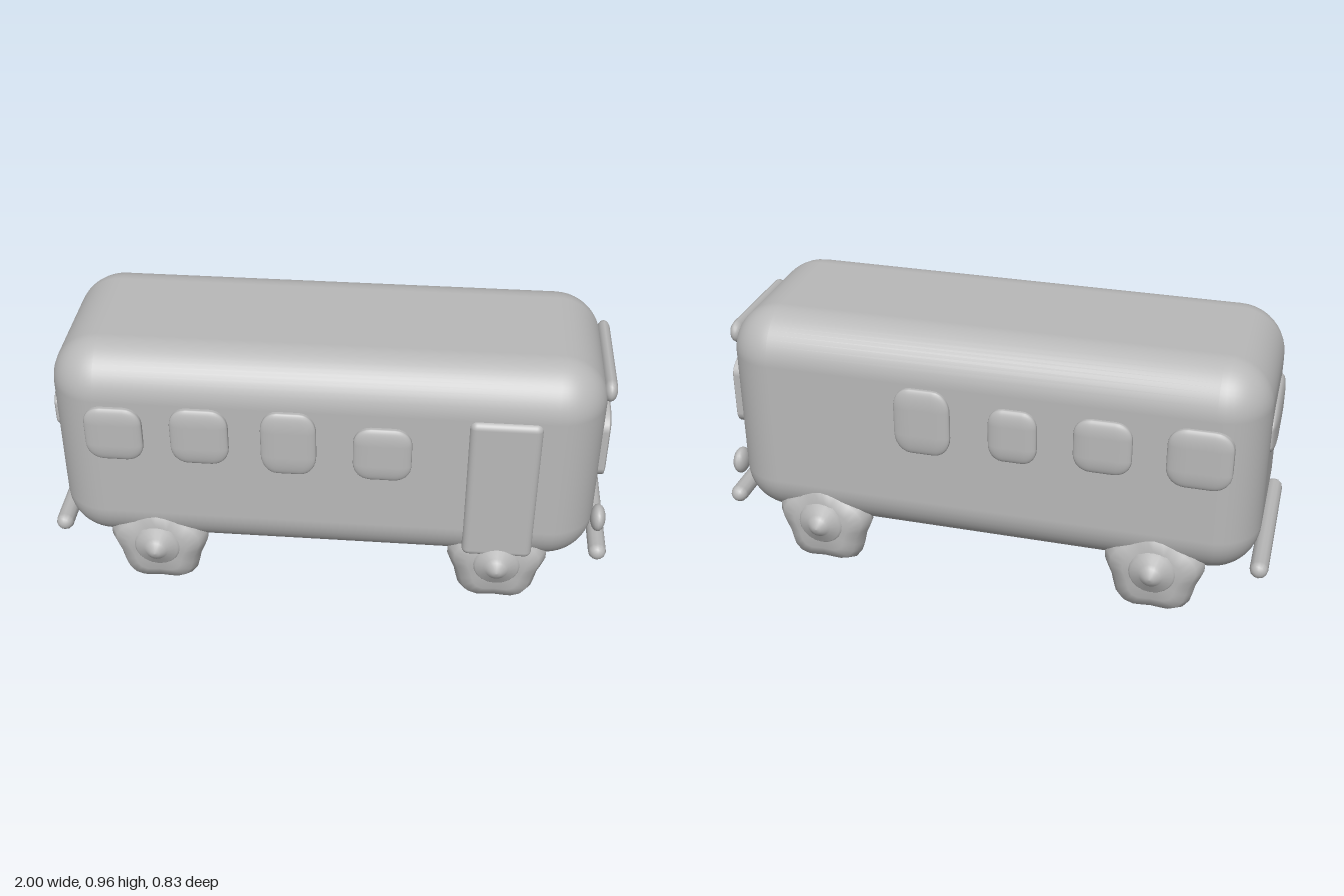
import * as THREE from 'three';
import { mergeVertices } from 'three/addons/utils/BufferGeometryUtils.js';
import { RoundedBoxGeometry } from 'three/addons/geometries/RoundedBoxGeometry.js';

const grey = new THREE.MeshStandardMaterial({ color: 0xb8b8b8 });
grey.name = 'grey';

export function createModel() {
  const bus = new THREE.Group();
  bus.name = 'bus';

  const add = (name, geometry, x, y, z, parent = bus) => {
    const mesh = new THREE.Mesh(geometry, grey);
    mesh.name = name;
    mesh.position.set(x, y, z);
    parent.add(mesh);
    return mesh;
  };

  // Soft cushion: a unit rounded cube stretched to size
  const pillow = (w, h, d, r = 0.3) => new RoundedBoxGeometry(1, 1, 1, 4, r).scale(w, h, d);

  // Round bar lying along z
  const bar = (r, length, flatten = 1) =>
    new THREE.CapsuleGeometry(r, length - 2 * r, 6, 12).rotateX(Math.PI / 2).scale(flatten, 1, 1);

  // Body shell
  add('body', new RoundedBoxGeometry(1.9, 0.805, 0.715, 6, 0.17), -0.007, 0.557, 0);

  // Side windows: x, y, width, height
  const frontWindows = [
    [-0.725, 0.67, 0.2, 0.21], [-0.43, 0.675, 0.2, 0.22],
    [-0.125, 0.665, 0.19, 0.25], [0.195, 0.64, 0.2, 0.21],
  ];
  const backWindows = [
    [-0.745, 0.65, 0.22, 0.22], [-0.42, 0.65, 0.2, 0.2],
    [-0.11, 0.645, 0.17, 0.2], [0.21, 0.655, 0.2, 0.25],
  ];
  for (const [x, y, w, h] of frontWindows) add('frontSideWindow', pillow(w, h, 0.06), x, y, 0.354);
  for (const [x, y, w, h] of backWindows) add('backSideWindow', pillow(w, h, 0.06), x, y, -0.352);

  // Passenger door
  add('door', new RoundedBoxGeometry(0.245, 0.57, 0.07, 4, 0.025), 0.605, 0.505, 0.34);

  // Windscreen, rear window and sign above the windscreen
  add('windscreen', pillow(0.06, 0.275, 0.465, 0.22), 0.942, 0.597, -0.01);
  add('rearWindow', pillow(0.06, 0.16, 0.4), -0.946, 0.65, 0.03);
  add('roofSign', bar(0.041, 0.455, 0.6), 0.95, 0.83, 0);

  // Headlights
  for (const side of [-1, 1]) {
    const lamp = new THREE.SphereGeometry(0.049, 16, 12).scale(0.55, 1, 1);
    add('headlight', lamp, 0.958, 0.327, side * 0.25);
  }

  // Bumpers
  for (const end of [-1, 1]) add('bumper', bar(0.032, 0.615), end * 0.968, 0.195, 0);

  // Wheels: softly five-cornered tyres with pointed hubs
  const lathe = (profile, segments) =>
    new THREE.LatheGeometry(profile.map(([r, z]) => new THREE.Vector2(r, z)), segments).rotateX(Math.PI / 2);

  const tyreShape = () => {
    let g = lathe([[0, 0.228], [0.09, 0.23], [0.14, 0.25], [0.168, 0.285], [0.17, 0.31],
      [0.145, 0.35], [0.1, 0.368], [0, 0.37]], 30);
    const p = g.attributes.position;
    for (let i = 0; i < p.count; i++) {
      const angle = Math.atan2(p.getY(i), p.getX(i));
      const k = 1 + 0.08 * Math.cos(5 * (angle - Math.PI / 2));
      p.setXY(i, p.getX(i) * k, p.getY(i) * k);
    }
    g.deleteAttribute('uv');
    g.deleteAttribute('normal');
    g = mergeVertices(g);
    g.computeVertexNormals();
    return g;
  };
  const tyre = tyreShape();
  const hub = lathe([[0, 0.34], [0.088, 0.345], [0.09, 0.36], [0.075, 0.376], [0.045, 0.385],
    [0.036, 0.398], [0.015, 0.412], [0, 0.415]], 20);

  for (const x of [-0.61, 0.61]) {
    for (const turn of [0, Math.PI]) {
      const wheel = new THREE.Group();
      wheel.name = 'wheel';
      wheel.position.x = x;
      wheel.rotation.y = turn;
      add('tyre', tyre, 0, 0.16, 0, wheel);
      add('hub', hub, 0, 0.178, 0, wheel);
      bus.add(wheel);
    }
  }

  return bus;
}
